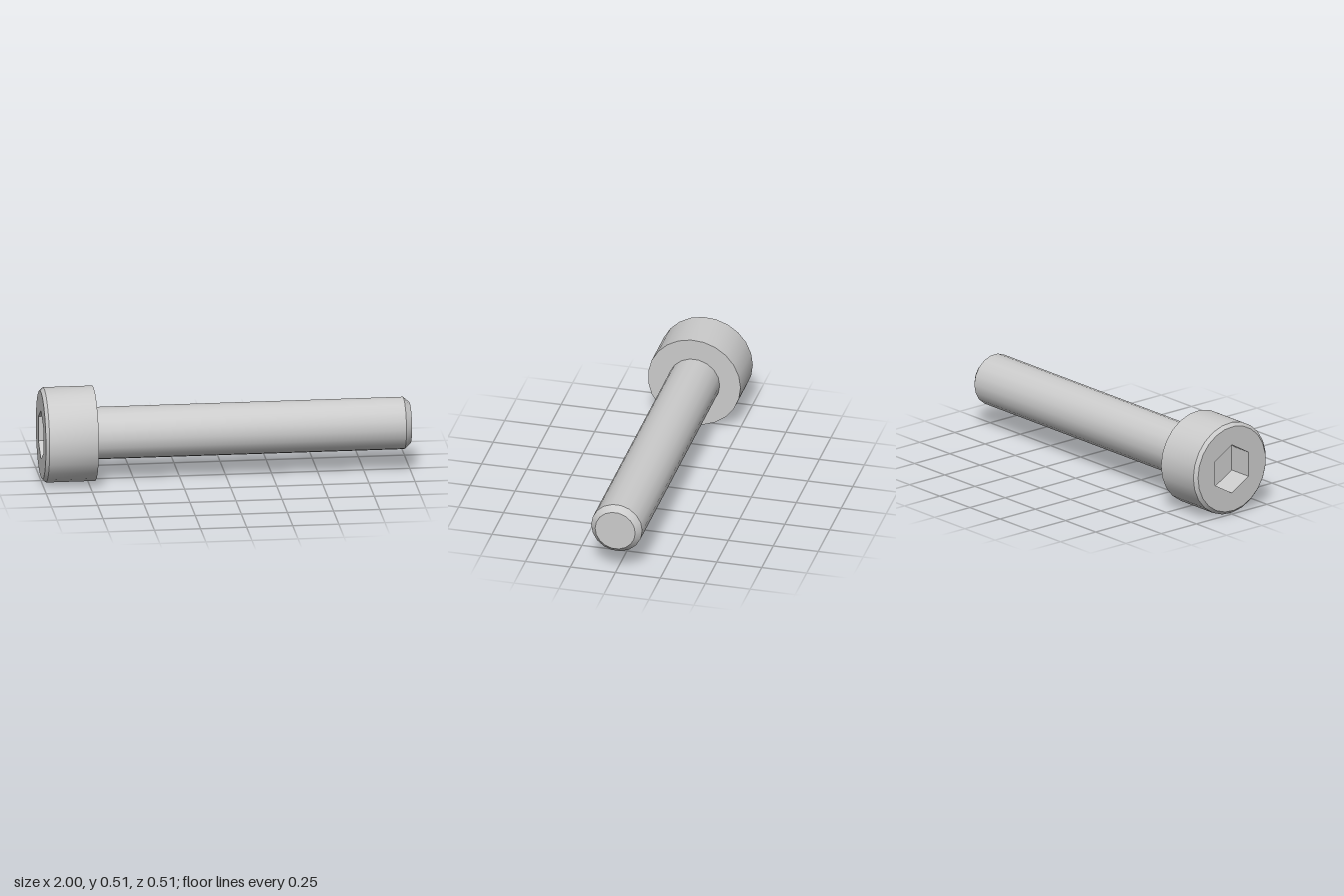
import * as THREE from 'three';
import { toCreasedNormals } from 'three/addons/utils/BufferGeometryUtils.js';

const HEAD_R = 0.2577, HEAD_SIDES = 23, HEAD_CHAMFER = 0.018;
const SHANK_R = 0.142, SHANK_SIDES = 18;
const HEX_R = 0.137, HEX_DEPTH = 0.14;

const material = new THREE.MeshStandardMaterial({ color: 0xcccccc });

// Revolves [radius, x] pairs about the x axis, keeping the rims sharp
function turned(name, profile, sides, start) {
  const points = profile.map(([r, x]) => new THREE.Vector2(r, x));
  const geometry = new THREE.LatheGeometry(points, sides, start).rotateZ(-Math.PI / 2);
  const mesh = new THREE.Mesh(toCreasedNormals(geometry, 0.6), material);
  mesh.name = name;
  return mesh;
}

// Corners of a regular polygon
function polygon(radius, sides, start) {
  return Array.from({ length: sides }, (_, i) => {
    const a = start + (i * 2 * Math.PI) / sides;
    return new THREE.Vector2(radius * Math.cos(a), radius * Math.sin(a));
  });
}

export function createModel() {
  const screw = new THREE.Group();
  screw.name = 'socketHeadScrew';

  // Cylindrical head with a chamfered outer rim and flat underside
  screw.add(turned('head', [
    [HEAD_R - HEAD_CHAMFER, -1], [HEAD_R, -1 + HEAD_CHAMFER],
    [HEAD_R, -0.715], [0.1, -0.715],
  ], HEAD_SIDES, Math.PI));

  // End face of the head, pierced by the hexagon
  const face = new THREE.Shape(polygon(HEAD_R - HEAD_CHAMFER, HEAD_SIDES, Math.PI));
  face.holes.push(new THREE.Path(polygon(HEX_R, 6, Math.PI / 2)));
  const headFace = new THREE.Mesh(
    new THREE.ShapeGeometry(face).rotateY(-Math.PI / 2).translate(-1, 0, 0), material);
  headFace.name = 'headFace';
  screw.add(headFace);

  // Hexagonal socket: floor, then walls facing inwards
  screw.add(turned('hexSocket', [
    [0, -1 + HEX_DEPTH], [HEX_R, -1 + HEX_DEPTH], [HEX_R, -1],
  ], 6, Math.PI / 2));

  // Plain shank with a chamfered tip
  screw.add(turned('shank', [
    [SHANK_R, -0.72], [SHANK_R, 0.966], [0.1115, 1], [0, 1],
  ], SHANK_SIDES, 0));

  // Rest the head on the ground
  screw.position.set(0, 0.257, 0.0012);
  const model = new THREE.Group();
  model.add(screw);
  return model;
}
